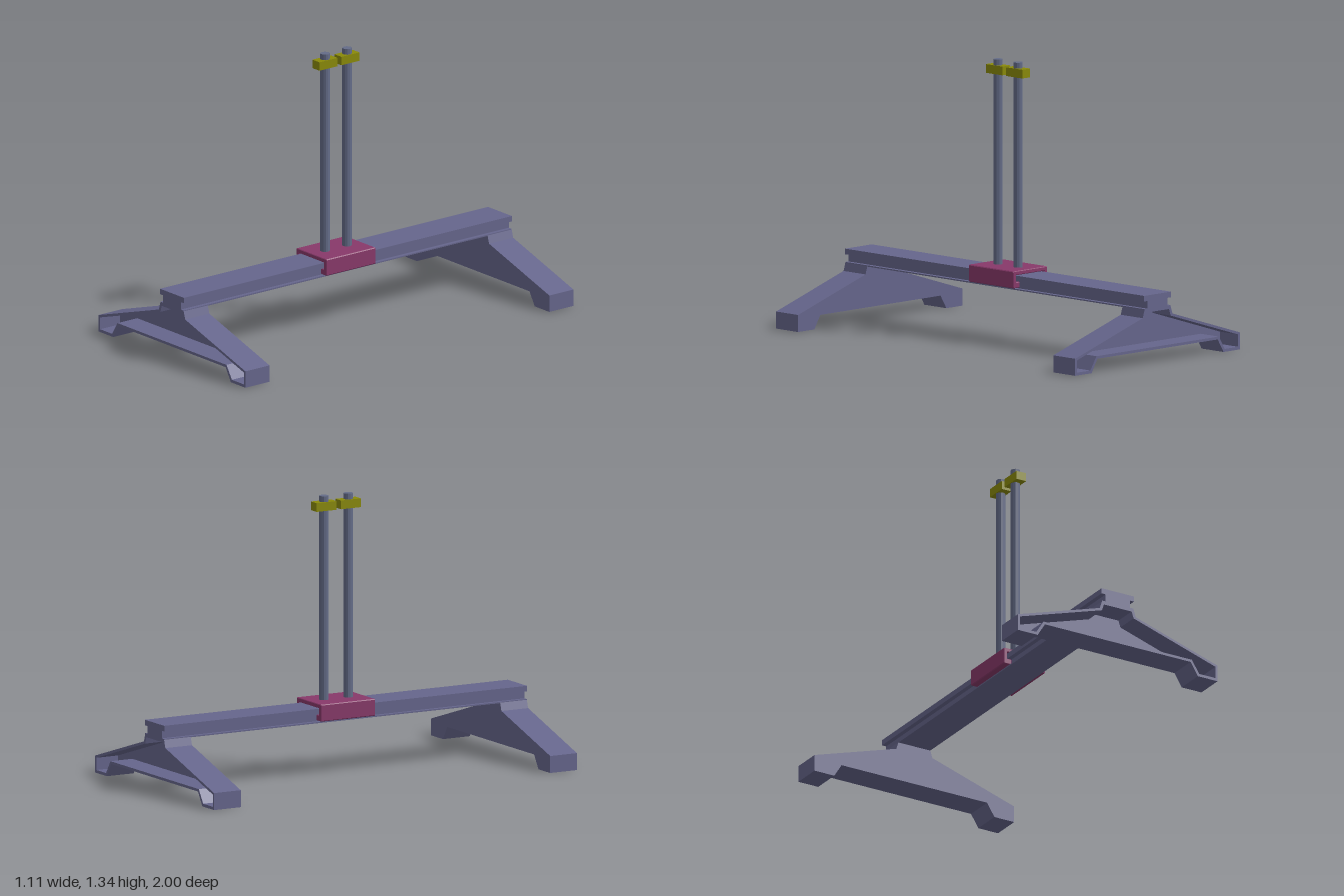
import * as THREE from 'three';

const paint = (color) => new THREE.MeshStandardMaterial({ color, flatShading: true });

// Mirrors a half outline (points on the +x side, top to bottom) across x = 0
const mirrored = (half) => [...half, ...half.map(([x, y]) => [-x, y]).reverse()]
  .map(([x, y]) => new THREE.Vector2(x, y));

// Extrudes an outline along z, from z0 to z1, with an optional hole and edge bevel
function extrude(points, z0, z1, { hole, bevel = 0 } = {}) {
  const shape = new THREE.Shape(points);
  if (hole) shape.holes.push(new THREE.Path([...hole].reverse()));
  return new THREE.ExtrudeGeometry(shape, {
    depth: z1 - z0 - 2 * bevel,
    bevelEnabled: bevel > 0,
    bevelSize: bevel,
    bevelThickness: bevel,
    bevelOffset: -bevel,
    bevelSegments: 1,
  }).translate(0, 0, z0 + bevel);
}

export function createModel() {
  const model = new THREE.Group();
  const steel = paint(0x66668c);
  const postSteel = paint(0x646c88);
  const plum = paint(0x88396a);
  const olive = paint(0x8a8a08);

  const add = (parent, name, geometry, material) => {
    const mesh = new THREE.Mesh(geometry, material);
    mesh.name = name;
    parent.add(mesh);
    return mesh;
  };

  // Splayed feet: a thin inner wall with a deep rim open to the outside
  const footOutline = mirrored([
    [0.088, 0.263], [0.1, 0.225], [0.555, 0.082], [0.555, 0], [0.445, 0], [0.405, 0.065],
  ]);
  const pocket = mirrored([
    [0.077, 0.249], [0.088, 0.216], [0.543, 0.073], [0.543, 0.014], [0.453, 0.014], [0.412, 0.078],
  ]);
  for (const [name, turn] of [['frontFoot', 0], ['backFoot', Math.PI]]) {
    const foot = new THREE.Group();
    foot.name = name;
    add(foot, 'footWall', extrude(footOutline, 0.853, 0.88), steel);
    add(foot, 'footRim', extrude(footOutline, 0.88, 1, { hole: pocket }), steel);
    foot.rotation.y = turn;
    model.add(foot);
  }

  // Rail with a T-slot on each side
  add(model, 'rail', extrude(mirrored([
    [0.09, 0.331], [0.09, 0.304], [0.067, 0.304], [0.067, 0.267], [0.088, 0.267], [0.088, 0.261],
  ]), -1, 1), steel);

  // Sliding carriage wrapped round the rail head
  add(model, 'carriage', extrude(mirrored([
    [0.111, 0.354], [0.115, 0.35], [0.115, 0.276], [0.111, 0.272], [0.071, 0.272],
    [0.071, 0.3], [0.094, 0.3], [0.094, 0.334],
  ]), -0.15, 0.15, { bevel: 0.003 }), plum);

  // Twin posts, each with a collar block near its top
  for (const z of [0.067, -0.067]) {
    const post = add(model, 'post', new THREE.CylinderGeometry(0.023, 0.023, 0.985, 12), postSteel);
    post.position.set(0, 0.8465, z);
    const collar = add(model, 'postCollar', new THREE.BoxGeometry(0.053, 0.042, 0.11), olive);
    collar.position.set(0, 1.29, z);
  }

  return model;
}
